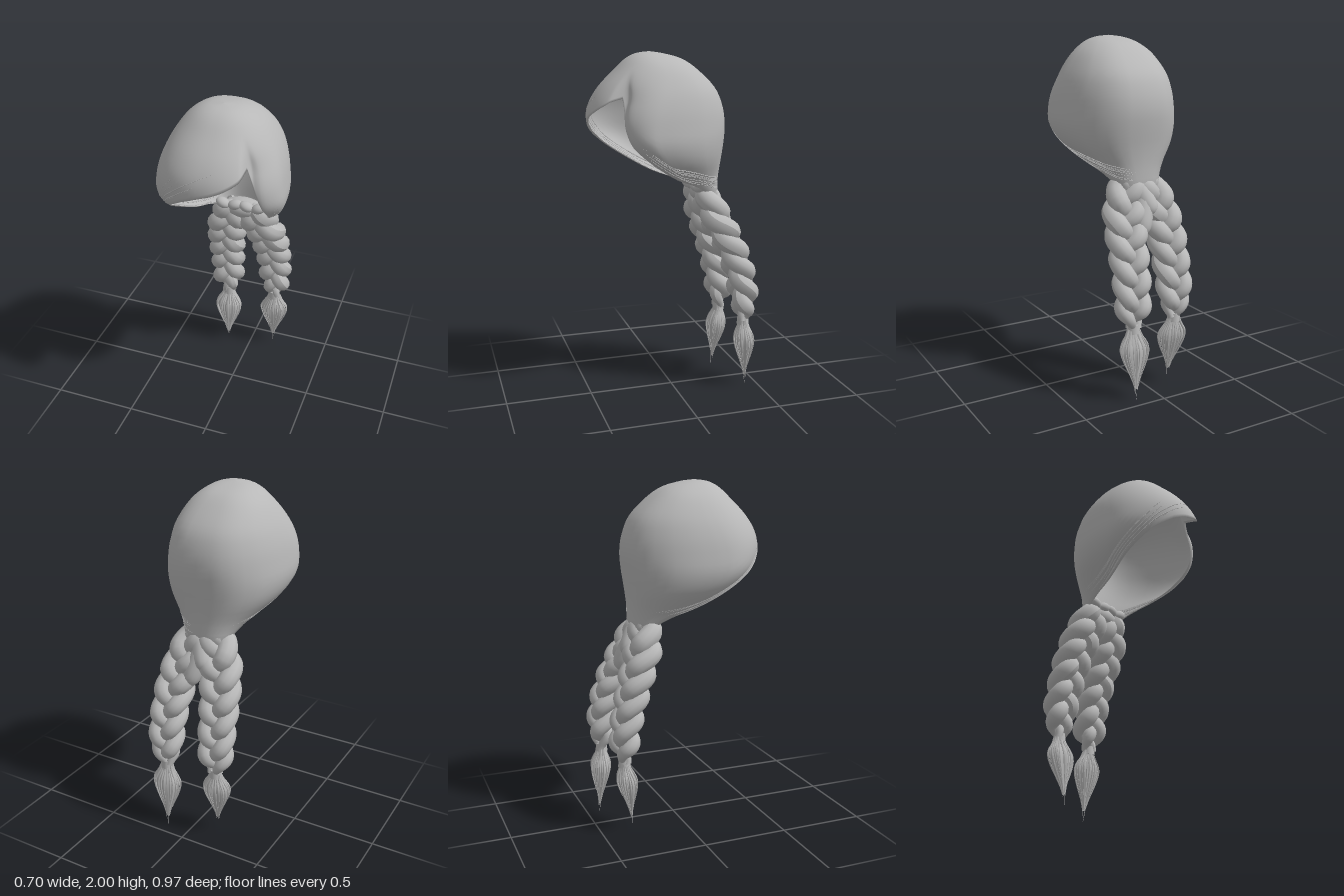
import * as THREE from 'three';

const hair = new THREE.MeshStandardMaterial({ color: 0xb8b8b8, side: THREE.DoubleSide });
hair.name = 'hair grey';

let seed = 7;
const rand = () => (seed = (seed * 16807) % 2147483647) / 2147483647;
const { smoothstep, lerp } = THREE.MathUtils;
const V = (x, y, z) => new THREE.Vector3(x, y, z);

function mesh(name, geometry, parent) {
  const m = new THREE.Mesh(geometry, hair);
  m.name = name;
  parent.add(m);
  return m;
}

// Tube whose rings are scaled about the path by radius(u)
function taperedTube(curve, n, sides, radius) {
  const g = new THREE.TubeGeometry(curve, n, 1, sides);
  const p = g.attributes.position, v = V(0, 0, 0);
  for (let i = 0; i <= n; i++) {
    const c = curve.getPointAt(i / n), r = radius(i / n);
    for (let j = 0; j <= sides; j++) {
      const k = i * (sides + 1) + j;
      v.fromBufferAttribute(p, k).sub(c).multiplyScalar(r).add(c);
      p.setXYZ(k, v.x, v.y, v.z);
    }
  }
  g.computeVertexNormals();
  return g;
}

// Cap cross-sections: height, half width, middle z, front z, back z
const sections = [
  [2.0, 0, 0.13, 0.13, 0.13], [1.99, 0.08, 0.13, 0.2, 0.06], [1.96, 0.15, 0.12, 0.26, -0.05],
  [1.9, 0.22, 0.1, 0.325, -0.14], [1.8, 0.285, 0.12, 0.42, -0.24], [1.7, 0.325, 0.16, 0.475, -0.285],
  [1.6, 0.345, 0.185, 0.48, -0.3], [1.5, 0.35, 0.175, 0.43, -0.292], [1.4, 0.31, 0.1, 0.32, -0.278],
  [1.3, 0.22, -0.01, 0.17, -0.27], [1.24, 0.165, -0.12, 0.0, -0.27], [1.17, 0.135, -0.17, -0.08, -0.27],
];
const sizeCurve = new THREE.CatmullRomCurve3(sections.map(s => V(s[0], s[1], s[2])), false, 'catmullrom');
const depthCurve = new THREE.CatmullRomCurve3(sections.map(s => V(s[3], s[4], 0)), false, 'catmullrom');

// Lower edge of the cap: angle from the front towards +x, height
const edge = [
  [-Math.PI, 1.18], [-2.3, 1.18], [-1.7, 1.185], [-1.35, 1.23], [-1.1, 1.315], [-0.85, 1.41], [-0.62, 1.5],
  [-0.3, 1.58], [0, 1.635], [0.3, 1.68], [0.55, 1.72], [0.7, 1.755], [0.78, 1.64], [0.88, 1.5],
  [1.05, 1.39], [1.3, 1.3], [1.6, 1.22], [2.2, 1.18], [Math.PI, 1.18],
];
function edgeY(a) {
  let i = 1;
  while (i < edge.length - 1 && edge[i][0] < a) i++;
  const [a0, y0] = edge[i - 1], [a1, y1] = edge[i];
  return lerp(y0, y1, (a - a0) / (a1 - a0));
}

function capPoint(a, y, scale = 1) {
  let lo = 0, hi = 1;
  for (let i = 0; i < 24; i++) {
    const m = (lo + hi) / 2;
    if (sizeCurve.getPoint(m).x > y) lo = m; else hi = m;
  }
  const s = sizeCurve.getPoint(lo), d = depthCurve.getPoint(lo);
  // parting crease, and the side lock set back behind the fringe
  const low = 1 - smoothstep(y, 1.72, 1.91);
  const k = scale * (1 - 0.07 * low * Math.exp(-(((a - 0.73) / 0.1) ** 2)));
  const setBack = 1 - 0.27 * low * smoothstep(a, 0.6, 0.78);
  const sn = Math.sin(a), cs = Math.cos(a);
  const x = s.y * Math.sign(sn) * Math.abs(sn) ** (cs > 0 ? 0.9 : 0.78);
  const z = cs > 0 ? (d.x - s.z) * setBack * cs ** 0.95 : (d.y - s.z) * Math.abs(cs) ** 0.95;
  return V(x * k, y, s.z + z * k);
}

function capGeometry() {
  const angles = [], pos = [], idx = [], rows = 30;
  for (let i = 1; i < edge.length; i++)
    for (let j = 0; j < 5; j++) angles.push(lerp(edge[i - 1][0], edge[i][0], j / 5));
  for (let i = 0; i <= rows + 1; i++) {
    for (const a of angles) {
      const e = edgeY(a);
      // the last row turns inward as a lip
      const p = i > rows ? capPoint(a, e + 0.012, 0.96) : capPoint(a, 2 - (2 - e) * (i / rows) ** 1.7);
      pos.push(p.x, p.y, p.z);
    }
  }
  const n = angles.length;
  for (let i = 0; i <= rows; i++)
    for (let j = 0; j < n; j++) {
      const p = i * n + j, q = i * n + (j + 1) % n;
      idx.push(p, p + n, q, q, p + n, q + n);
    }
  const g = new THREE.BufferGeometry();
  g.setAttribute('position', new THREE.Float32BufferAttribute(pos, 3));
  g.setIndex(idx);
  g.computeVertexNormals();
  return g;
}

// Fine strands lying on the cap and sweeping back to the nape
function addStrands(parent) {
  for (let i = 0; i < 16; i++) {
    const left = i % 2 === 0;
    const from = left ? 0.95 + rand() * 0.6 : 0.5 - rand() * 1.8;
    const to = left ? 2.7 + rand() * 0.3 : Math.max(-2.9, from - 0.8 - rand());
    const up = 0.02 + rand() * 0.16;
    const pts = [];
    for (let j = 0; j <= 12; j++) {
      const a = lerp(from, to, j / 12);
      pts.push(capPoint(a, edgeY(a) + up * (1 - 0.4 * j / 12), 1.001));
    }
    mesh('looseStrand', taperedTube(new THREE.CatmullRomCurve3(pts), 30, 4,
      u => 0.0004 + 0.0026 * Math.sin(Math.PI * u)), parent);
  }
}

// Three interwoven strands around a hanging centre line
function addBraid(side, parent) {
  const g = new THREE.Group();
  g.name = side > 0 ? 'leftBraid' : 'rightBraid';
  parent.add(g);
  const back = side > 0 ? -0.025 : 0.02;
  const centre = new THREE.CatmullRomCurve3([
    V(side * 0.05, 1.23, -0.19), V(side * 0.095, 1.1, -0.215), V(side * 0.13, 0.95, -0.275 + back / 2),
    V(side * 0.147, 0.75, -0.345 + back), V(side * 0.152, 0.58, -0.378 + back), V(side * 0.15, 0.42, -0.38 + back),
  ]);
  for (let k = 0; k < 3; k++) {
    const pts = [];
    for (let i = 0; i <= 48; i++) {
      const t = i / 48, f = Math.PI * 2 * (2.15 * t + k / 3);
      const w = (0.65 + 0.4 * smoothstep(t, 0, 0.25)) * (1 - 0.27 * t - 0.4 * smoothstep(t, 0.85, 1));
      pts.push(centre.getPointAt(t).add(V(side * 0.07 * w * Math.sin(f), 0, 0.042 * w * Math.sin(2 * f))));
    }
    mesh('braidStrand', taperedTube(new THREE.CatmullRomCurve3(pts), 110, 12, u => {
      const lump = 1 + 0.16 * Math.abs(Math.sin(Math.PI * 2 * (2.15 * u + k / 3)));
      const ends = Math.min(1, Math.sqrt(u * 14 + 0.02)) * (1 - 0.55 * smoothstep(u, 0.88, 1));
      return 0.054 * lump * ends * (1 - 0.25 * u);
    }), g);
  }
  addTuft(side, V(side * 0.15, 0.42, -0.38 + back), g);
}

// Tie, solid core and loose hairs at the end of a braid
function addTuft(side, top, parent) {
  const tip = V(side * 0.14, side > 0 ? 0 : 0.03, side > 0 ? -0.43 : -0.31);
  const tie = mesh('braidTie', new THREE.CylinderGeometry(0.032, 0.036, 0.05, 16), parent);
  tie.position.copy(top);
  // narrow at the tie, widest a third of the way down, then drawn to a point
  const spread = u => 0.03 + 0.052 * smoothstep(u, 0, 0.28) - 0.074 * smoothstep(u, 0.26, 0.92);
  const core = new THREE.LatheGeometry([0, 0.07, 0.14, 0.21, 0.28, 0.36, 0.45, 0.55, 0.7, 0.85].map(
    u => new THREE.Vector2(spread(u) * 0.88, -u)).reverse(), 32);
  const p = core.attributes.position;
  for (let i = 0; i < p.count; i++) {
    const u = -p.getY(i), c = top.clone().lerp(tip, u);
    const flute = 1 + 0.1 * Math.cos(8 * Math.atan2(p.getX(i), p.getZ(i)));
    p.setXYZ(i, c.x + p.getX(i) * flute, c.y, c.z + p.getZ(i) * 0.65 * flute);
  }
  core.computeVertexNormals();
  mesh('tuftCore', core, parent);
  for (let i = 0; i < 26; i++) {
    const a = (i + rand() * 0.6) / 26 * Math.PI * 2, len = i === 0 ? 1 : 0.5 + rand() * 0.42;
    const wide = 0.9 + rand() * 0.2, pts = [];
    for (let j = 0; j <= 8; j++) {
      const u = j / 8 * len, r = i === 0 && j === 8 ? 0 : spread(u) * wide;
      pts.push(top.clone().lerp(tip, u).add(V(Math.sin(a) * r, 0, Math.cos(a) * r * 0.65)));
    }
    mesh('tuftHair', taperedTube(new THREE.CatmullRomCurve3(pts), 18, 5,
      u => 0.007 * (1 - u) + 0.0008), parent);
  }
}

export function createModel() {
  const model = new THREE.Group();
  model.name = 'braidedHair';
  mesh('hairCap', capGeometry(), model);
  addStrands(model);

  // gathered hair at the nape
  const knot = mesh('napeKnot', new THREE.SphereGeometry(1, 24, 16), model);
  knot.scale.set(0.12, 0.06, 0.07);
  knot.position.set(0, 1.19, -0.19);

  // locks crossing behind between the braids: bottom x, bottom height, bottom z
  for (const [x, y, z] of [[0.045, 0.92, -0.325], [-0.045, 1.02, -0.3]]) {
    const path = new THREE.CatmullRomCurve3([
      V(-x * 0.6, 1.2, -0.21), V(x * 0.2, lerp(1.2, y, 0.5), lerp(-0.21, z, 0.55)), V(x, y, z)]);
    mesh('crossingLock', taperedTube(path, 30, 14,
      u => 0.056 * Math.sqrt(Math.max(0.01, 1 - (2 * u - 1) ** 4))), model);
  }

  for (const side of [-1, 1]) {
    for (const [x, tilt] of [[0.11, 0.4], [0.035, -0.3]]) {
      const loop = mesh('napeLoop', new THREE.SphereGeometry(1, 16, 12), model);
      loop.scale.set(0.045, 0.03, 0.035);
      loop.rotation.z = side * tilt;
      loop.position.set(side * x, 1.23, -0.14);
    }
    addBraid(side, model);
  }
  return model;
}
